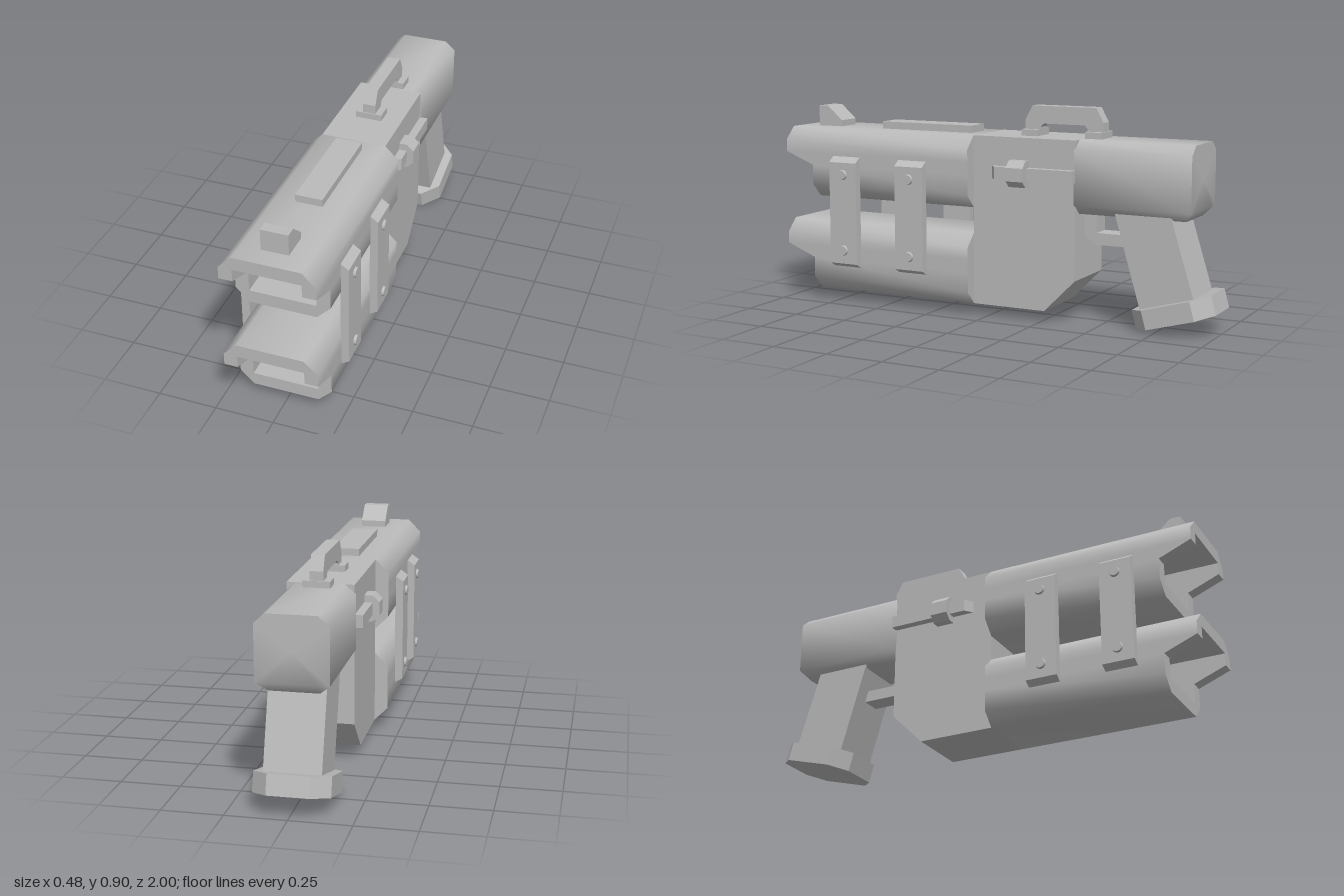
import * as THREE from 'three';
import { toCreasedNormals } from 'three/addons/utils/BufferGeometryUtils.js';

const metal = new THREE.MeshStandardMaterial({ color: 0xbbbbbb });
metal.name = 'grey metal';

function add(parent, name, geometry) {
  const mesh = new THREE.Mesh(geometry, metal);
  mesh.name = name;
  parent.add(mesh);
  return mesh;
}

const shapeOf = (points) => new THREE.Shape(points.map(([a, b]) => new THREE.Vector2(a, b)));

// Extrudes an outline along +z, starting at z = 0
const extrude = (points, depth) =>
  new THREE.ExtrudeGeometry(shapeOf(points), { depth, bevelEnabled: false });

// Extrudes a [z, y] outline across x, centred on x = 0
const sidePlate = (points, halfWidth) =>
  extrude(points, halfWidth * 2).translate(0, 0, -halfWidth).rotateY(-Math.PI / 2);

// Skins closed rings of [x, y, z] points and caps both ends
function loft(rings) {
  const pos = [];
  const centre = (r) => [0, 1, 2].map((k) => r.reduce((s, p) => s + p[k], 0) / r.length);
  const n = rings[0].length;
  const first = rings[0], last = rings[rings.length - 1];
  const c0 = centre(first), c1 = centre(last);
  for (let j = 0; j < n; j++) {
    const k = (j + 1) % n;
    for (let i = 0; i + 1 < rings.length; i++) {
      const a = rings[i], b = rings[i + 1];
      pos.push(...a[j], ...a[k], ...b[k], ...a[j], ...b[k], ...b[j]);
    }
    pos.push(...c0, ...first[k], ...first[j], ...c1, ...last[j], ...last[k]);
  }
  const g = new THREE.BufferGeometry();
  g.setAttribute('position', new THREE.Float32BufferAttribute(pos, 3));
  return toCreasedNormals(g, 0.9);
}

// Mirrors the right half of an outline to close the ring
const mirrored = (half) => [...half, ...half.slice().reverse().map(([x, y]) => [-x, y])];

// Hollow chamfered barrel with an overhanging upper lip
function barrel(y0) {
  const outline = mirrored([
    [0.14, 0], [0.197, 0.057], [0.197, 0.145], [0.197, 0.2], [0.197, 0.253], [0.14, 0.309],
  ]);
  const bore = outline.map(([x, y]) => [Math.sign(x) * 0.14, THREE.MathUtils.clamp(y, 0.055, 0.253)]);
  const lip = (y) => (y < 0.19 ? 0.86 : 1);
  const ring = (pts, z) => pts.map(([x, y]) => [x, y + y0, z ?? lip(y)]);
  return loft([ring(outline, 0.07), ring(outline), ring(bore), ring(bore, 0.6)]);
}

export function createModel() {
  const model = new THREE.Group();
  model.name = 'doubleBarrelBlaster';

  add(model, 'upperBarrel', barrel(0.475));
  add(model, 'lowerBarrel', barrel(0.055));

  // Receiver block with a cut lower rear corner
  add(model, 'receiver', sidePlate([
    [0.07, 0.055], [0.07, 0.784], [-0.405, 0.784], [-0.405, 0.195], [-0.265, 0.055],
  ], 0.14));

  // Rear housing with chamfered edges and a clipped rear underside
  const housing = mirrored([[0.1, 0.475], [0.145, 0.515], [0.145, 0.745], [0.1, 0.784]]);
  add(model, 'rearHousing', loft([
    housing.map(([x, y]) => [x, Math.max(y, 0.515), -0.91]),
    housing.map(([x, y]) => [x, y, y < 0.5 ? -0.875 : -0.91]),
    housing.map(([x, y]) => [x, y, -0.4]),
  ]));

  // Grip and its tilted octagonal base
  add(model, 'grip', sidePlate([
    [-0.568, 0.5], [-0.695, 0.07], [-0.925, 0.135], [-0.812, 0.5],
  ], 0.115));
  const w = 0.154, l = 0.177, c = 0.07;
  const base = add(model, 'gripBase', extrude([
    [w, l - c], [w - c, l], [c - w, l], [-w, l - c],
    [-w, c - l], [c - w, -l], [w - c, -l], [w, c - l],
  ], 0.083).translate(0, 0, -0.0415).rotateX(-Math.PI / 2));
  base.position.set(0, 0.095, -0.82);
  base.rotation.x = 0.27;

  // Trigger guard
  add(model, 'triggerGuard', sidePlate([
    [-0.4, 0.48], [-0.4, 0.385], [-0.45, 0.34], [-0.64, 0.34],
    [-0.64, 0.39], [-0.46, 0.39], [-0.46, 0.48],
  ], 0.045));

  // Carry handle with two feet
  add(model, 'handle', sidePlate([
    [-0.12, 0.785], [-0.12, 0.85], [-0.153, 0.911], [-0.447, 0.911], [-0.48, 0.85], [-0.48, 0.785],
    [-0.408, 0.785], [-0.408, 0.822], [-0.395, 0.836], [-0.205, 0.836], [-0.192, 0.822], [-0.192, 0.785],
  ], 0.028));
  for (const z of [-0.153, -0.447]) {
    add(model, 'handleFoot', new THREE.BoxGeometry(0.114, 0.03, 0.076)).position.set(0, 0.796, z);
  }

  // Front sight and top panel
  add(model, 'frontSight', sidePlate([
    [0.915, 0.78], [0.915, 0.875], [0.868, 0.875], [0.795, 0.812], [0.795, 0.78],
  ], 0.057));
  add(model, 'topPanel', new THREE.BoxGeometry(0.114, 0.035, 0.45)).position.set(0, 0.798, 0.35);

  for (const s of [1, -1]) {
    const side = new THREE.Group();
    side.name = s > 0 ? 'leftFittings' : 'rightFittings';
    // Turning half round mirrors the fittings; z is flipped back per part
    side.rotation.y = s > 0 ? 0 : Math.PI;
    model.add(side);

    // Barrel straps with bolts
    for (const z of [0.68, 0.343]) {
      add(side, 'strap', extrude([
        [0.195, 0.17], [0.23, 0.19], [0.23, 0.642], [0.195, 0.667],
      ], 0.138)).position.z = s * z - 0.069;
      for (const y of [0.25, 0.588]) {
        const bolt = add(side, 'bolt', new THREE.CylinderGeometry(0.02, 0.026, 0.02, 12));
        bolt.rotation.z = -Math.PI / 2;
        bolt.position.set(0.23, y, s * z);
      }
    }

    // Bolt rail with a sloped front end
    const rail = [[0.13, -0.017], [0.14, -0.017], [0.175, -0.045], [0.175, -0.405], [0.13, -0.405]];
    const railShape = rail.map(([x, z]) => [x, -s * z]);
    add(side, 'boltRail', extrude(s > 0 ? railShape : railShape.reverse(), 0.053)
      .rotateX(-Math.PI / 2)).position.y = 0.607;

    // Chamfered knob around the rail
    add(side, 'boltKnob', extrude([
      [0.135, 0.578], [0.175, 0.578], [0.204, 0.605], [0.204, 0.662], [0.175, 0.69], [0.135, 0.69],
    ], 0.078)).position.z = -s * 0.154 - 0.039;
  }
  return model;
}
